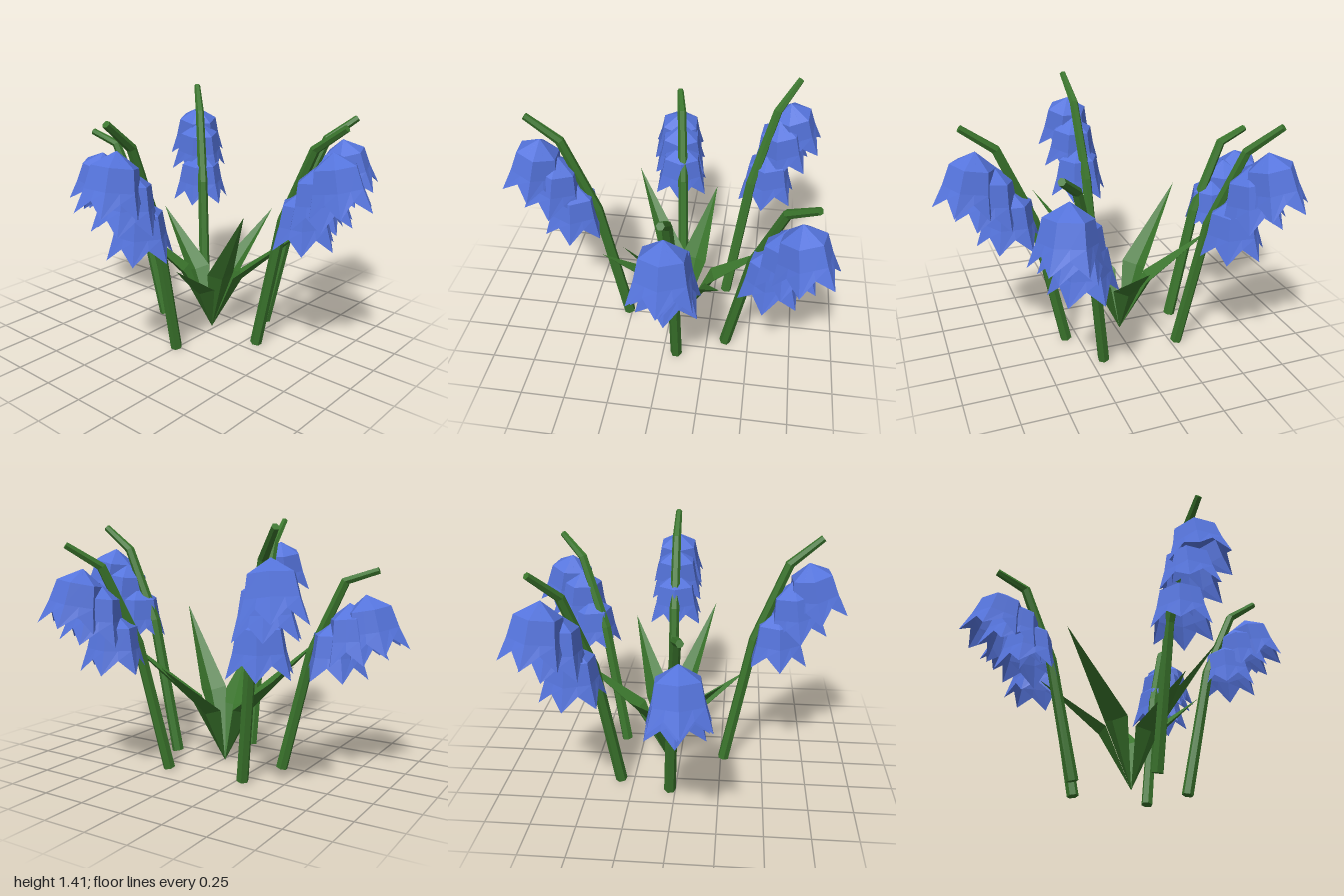
import * as THREE from 'three';

const green = new THREE.MeshStandardMaterial({ color: 0x3a752c, flatShading: true, side: THREE.DoubleSide });
green.name = 'leaf green';
const blue = new THREE.MeshStandardMaterial({ color: 0x5574dc, flatShading: true, side: THREE.DoubleSide });
blue.name = 'petal blue';

const V = (x, y, z) => new THREE.Vector3(x, y, z);
const UP = V(0, 1, 0);

// Joins matching closed rings of points into a faceted skin, with optional end caps
function loft(rings, capped) {
  const pts = [];
  const n = rings[0].length;
  for (let k = 0; k < rings.length - 1; k++) {
    for (let i = 0; i < n; i++) {
      const j = (i + 1) % n, a = rings[k], b = rings[k + 1];
      pts.push(a[i], a[j], b[j], a[i], b[j], b[i]);
    }
  }
  if (capped) {
    const first = rings[0], last = rings[rings.length - 1];
    for (let i = 1; i < n - 1; i++) {
      pts.push(first[0], first[i + 1], first[i], last[0], last[i], last[i + 1]);
    }
  }
  return facets(pts);
}

function facets(pts) {
  const g = new THREE.BufferGeometry().setFromPoints(pts);
  g.computeVertexNormals();
  return g;
}

// Stem: six-sided tapering rod along a bent path
function stemGeometry(path, side) {
  const radii = [0.034, 0.031, 0.027, 0.02];
  const rings = path.map((c, k) => {
    const t = path[Math.min(k + 1, path.length - 1)].clone().sub(path[Math.max(k - 1, 0)]).normalize();
    const nrm = t.clone().cross(side);
    return Array.from({ length: 6 }, (_, i) => {
      const a = (i * Math.PI) / 3;
      return c.clone().addScaledVector(side, radii[k] * Math.cos(a)).addScaledVector(nrm, radii[k] * Math.sin(a));
    });
  });
  return loft(rings, true);
}

// Bell: six-sided cup with six flared petal tips, origin at its middle
function bellGeometry() {
  // [corner radius, corner y, mid-edge radius, mid-edge y]
  const c30 = Math.cos(Math.PI / 6);
  const profile = [
    [0.182, -0.115, 0.142, -0.04],
    [0.145, 0.01, 0.145 * c30, 0.01],
    [0.122, 0.125, 0.122 * c30, 0.125],
    [0.002, 0.2, 0.002, 0.2],
  ];
  return loft(profile.map(([r, y, rm, ym]) => Array.from({ length: 12 }, (_, i) => {
    const a = (i * Math.PI) / 6, q = i % 2 ? rm : r;
    return V(q * Math.cos(a), i % 2 ? ym : y, -q * Math.sin(a));
  })), false);
}

// Leaf: creased blade, pointed at both ends, bending outward at its widest part
function leafGeometry(base, tip) {
  const d = tip.clone().sub(base).setY(0).normalize();
  const side = d.clone().cross(UP);
  const elbow = base.clone().addScaledVector(d, 0.15).setY(0.16 + 0.29 * tip.y);
  const left = elbow.clone().addScaledVector(side, -0.08);
  const right = elbow.clone().addScaledVector(side, 0.08);
  const rib = elbow.clone().addScaledVector(d, 0.035).add(V(0, -0.025, 0));
  return facets([base, rib, left, base, right, rib, tip, left, rib, tip, rib, right]);
}

export function createModel() {
  const model = new THREE.Group();
  model.name = 'bellflowerPlant';

  // Flower stalks: base x, base z, tip x, tip z, heights of the two bends and tip, bell top heights
  const stalks = [
    { base: [0.32, -0.08], tip: [0.84, -0.08], y: [0.80, 1.22, 1.35], bells: [1.225, 1.14, 1.0], turn: 0 },
    { base: [0.0, 0.265], tip: [0.05, 0.78], y: [0.80, 1.25, 1.395], bells: [1.26, 1.15, 0.98], turn: 0.06 },
    { base: [-0.37, -0.03], tip: [-0.875, 0.07], y: [0.68, 1.08, 1.14], bells: [1.015, 0.965, 0.87], turn: 0.08 },
    { base: [-0.285, -0.325], tip: [-0.66, -0.675], y: [0.79, 1.22, 1.37], bells: [1.235, 1.15, 0.96], turn: -0.12 },
    { base: [0.18, -0.36], tip: [0.51, -0.78], y: [0.74, 1.155, 1.27], bells: [1.15, 1.07, 0.91], turn: -0.2 },
  ];
  const along = [0, 0.31, 0.66, 1];
  const bellReach = [0.49, 0.39, 0.295];
  const bellTilt = [0.2, 0.12, 0.03];
  const bell = bellGeometry();

  stalks.forEach(({ base, tip, y, bells, turn }) => {
    const stalk = new THREE.Group();
    stalk.name = 'flowerStalk';
    const start = V(base[0], 0.008, base[1]);
    const reach = V(tip[0] - base[0], 0, tip[1] - base[1]);
    const dir = reach.clone().normalize();
    const side = dir.clone().cross(UP);
    const path = along.map((f, k) => start.clone().addScaledVector(reach, f).setY(k ? y[k - 1] : 0.008));
    const stem = new THREE.Mesh(stemGeometry(path, side), green);
    stem.name = 'stem';
    stalk.add(stem);

    bells.forEach((top, k) => {
      const flower = new THREE.Mesh(bell, blue);
      flower.name = 'bellFlower';
      flower.position.copy(start).addScaledVector(dir, bellReach[k]).setY(top - 0.2);
      flower.quaternion.setFromAxisAngle(side, bellTilt[k])
        .multiply(new THREE.Quaternion().setFromAxisAngle(UP, turn));
      stalk.add(flower);
    });
    model.add(stalk);
  });

  // Central rosette of leaves
  const root = V(-0.02, 0.005, -0.08);
  [
    [0.02, 0.65, -0.63], [0.53, 0.73, -0.33], [0.42, 0.87, 0.19],
    [0.12, 0.55, 0.39], [-0.51, 0.765, 0.27], [-0.54, 0.65, -0.22],
  ].forEach((p) => {
    const leaf = new THREE.Mesh(leafGeometry(root, V(...p)), green);
    leaf.name = 'leaf';
    model.add(leaf);
  });

  return model;
}
